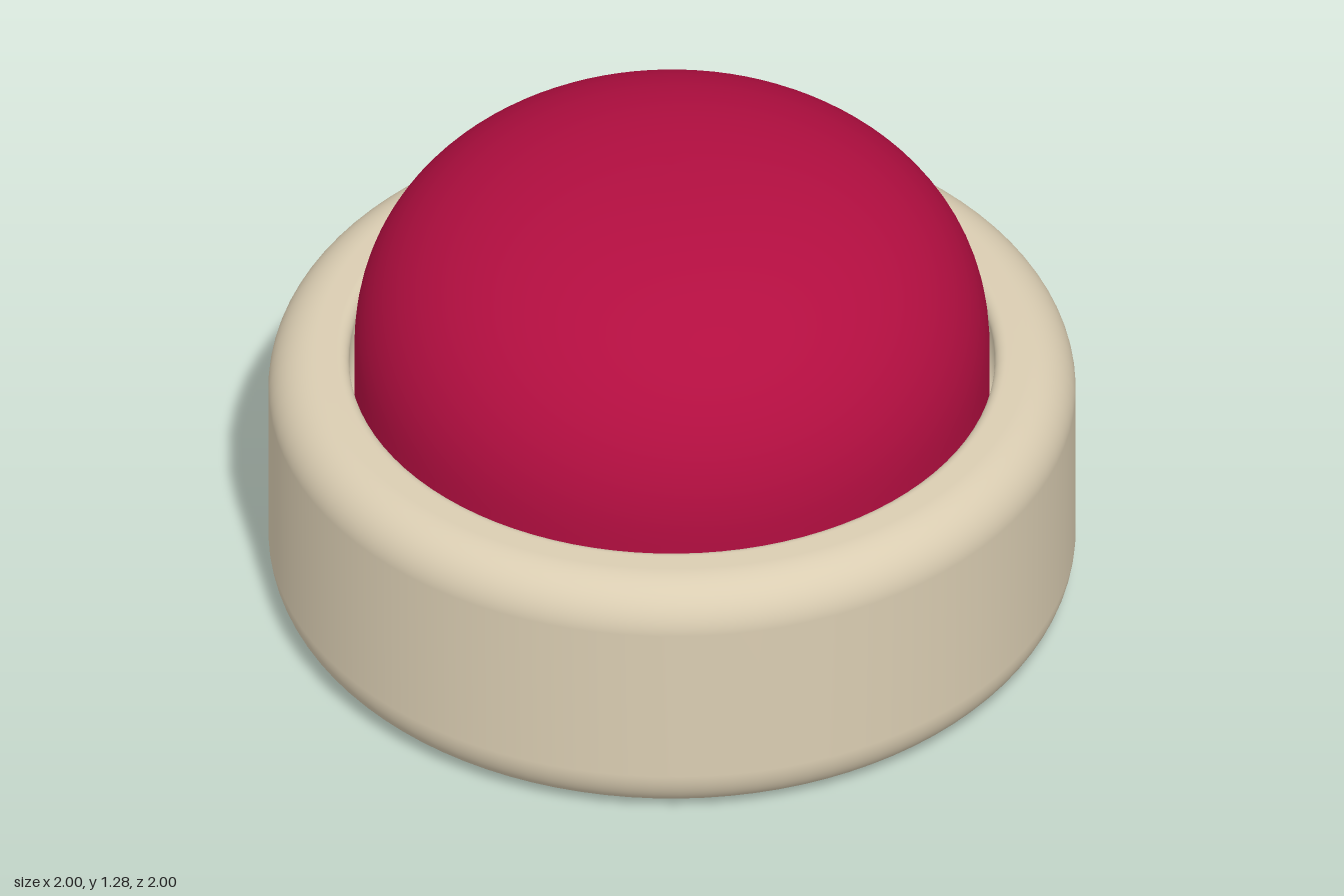
import * as THREE from 'three';

const SEGMENTS = 96;

function lathe(name, points, material) {
  const mesh = new THREE.Mesh(new THREE.LatheGeometry(points, SEGMENTS), material);
  mesh.name = name;
  return mesh;
}

// Housing: a rounded drum with a round well in its top
function housingProfile() {
  const path = new THREE.Path();
  path.moveTo(0, 0);
  path.lineTo(0.86, 0);
  path.absarc(0.86, 0.14, 0.14, -Math.PI / 2, 0, false);
  path.lineTo(1, 0.58);
  path.absarc(0.88, 0.58, 0.12, 0, Math.PI / 2, false);
  path.lineTo(0.83, 0.70);
  path.absarc(0.83, 0.67, 0.03, Math.PI / 2, Math.PI, false);
  path.lineTo(0.80, 0.45);
  path.lineTo(0, 0.45);
  return path.getPoints(10);
}

// Dome: a squashed, slightly boxy curve above a short straight skirt
function domeProfile() {
  const points = [new THREE.Vector2(0.787, 0.45)];
  const steps = 32, power = 2 / 2.3;
  for (let i = 0; i <= steps; i++) {
    const a = (i / steps) * Math.PI / 2;
    const r = i === steps ? 0 : 0.787 * Math.cos(a) ** power;
    points.push(new THREE.Vector2(r, 0.70 + 0.58 * Math.sin(a) ** power));
  }
  return points;
}

export function createModel() {
  const cream = new THREE.MeshStandardMaterial({ color: 0xdacdb2 });
  cream.name = 'cream';
  const crimson = new THREE.MeshStandardMaterial({ color: 0xb20e40 });
  crimson.name = 'crimson';

  const model = new THREE.Group();
  model.name = 'pushButton';
  model.add(lathe('housing', housingProfile(), cream));
  model.add(lathe('dome', domeProfile(), crimson));
  return model;
}
